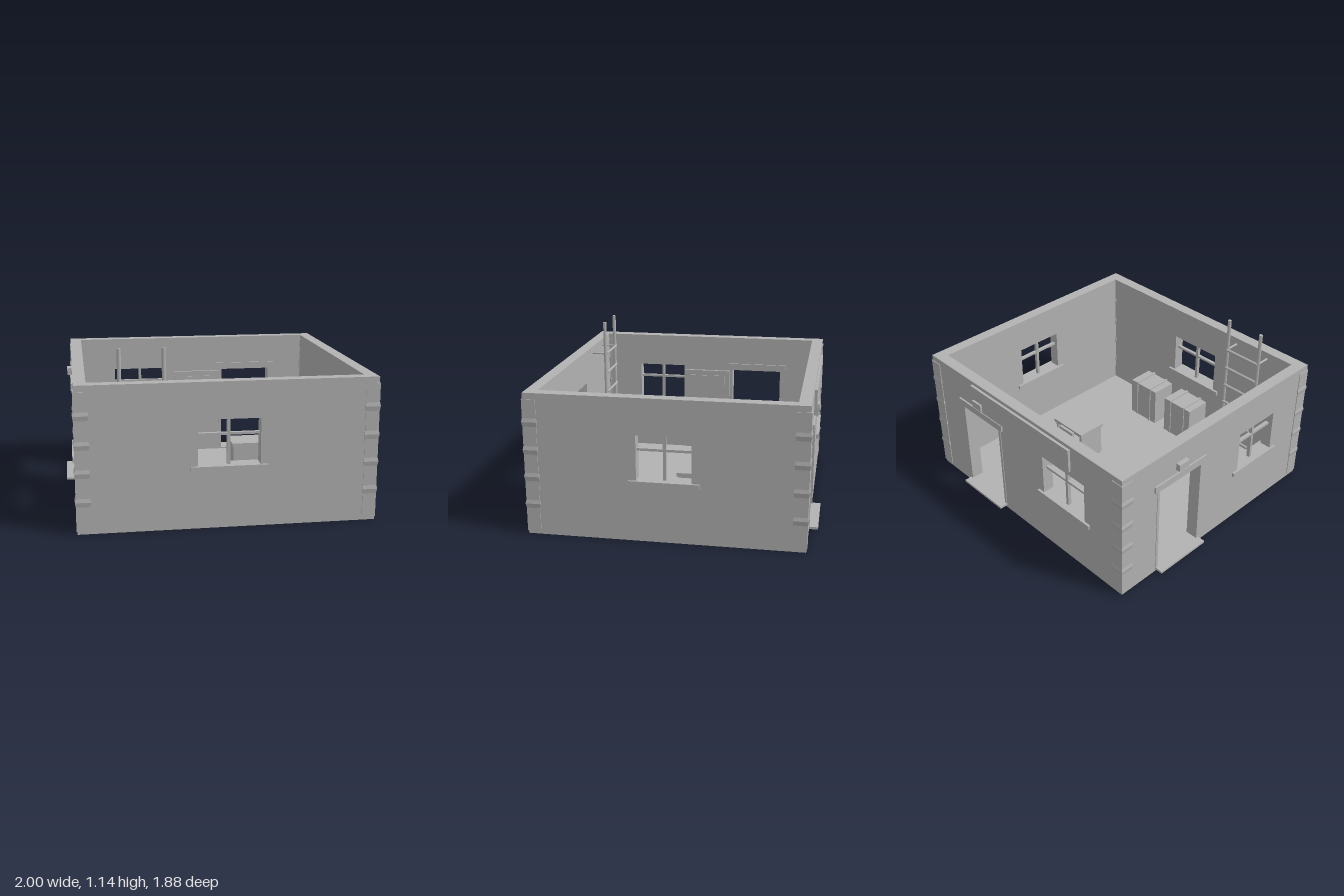
import * as THREE from 'three';

export function createModel() {
  const root = new THREE.Group();
  const grey = new THREE.MeshStandardMaterial({ color: 0xb2b2b2 });
  grey.name = 'plainGrey';

  const add = (name, geo, parent = root) => {
    const m = new THREE.Mesh(geo, grey);
    m.name = name;
    parent.add(m);
    return m;
  };
  // box given by its minimum and maximum on each axis
  const box = (name, x0, x1, y0, y1, z0, z1, parent = root) => {
    const m = add(name, new THREE.BoxGeometry(x1 - x0, y1 - y0, z1 - z0), parent);
    m.position.set((x0 + x1) / 2, (y0 + y1) / 2, (z0 + z1) / 2);
    return m;
  };
  const rod = (name, a, b, r, parent) => {
    const p = new THREE.Vector3(...a), q = new THREE.Vector3(...b);
    const m = add(name, new THREE.CylinderGeometry(r, r, p.distanceTo(q), 8), parent);
    m.position.copy(p).add(q).multiplyScalar(0.5);
    m.quaternion.setFromUnitVectors(new THREE.Vector3(0, 1, 0), q.sub(p).normalize());
  };
  const group = (name) => {
    const g = new THREE.Group();
    g.name = name;
    root.add(g);
    return g;
  };

  const T = 0.08, H = 0.95, FLOOR = 0.025;
  const SILL = 0.41, WIN_TOP = 0.71, DOOR_TOP = 0.69;

  // Each wall group: local x runs along the wall, local z = 0 is the inner face, z = T the outer
  const wall = (name, x, z, angle, u0, u1, openings) => {
    const g = group(name);
    g.position.set(x, 0, z);
    g.rotation.y = angle;
    const s = new THREE.Shape();
    s.moveTo(u0, 0); s.lineTo(u1, 0); s.lineTo(u1, H); s.lineTo(u0, H); s.closePath();
    for (const [a, b, y0, y1] of openings) {
      const h = new THREE.Path();
      h.moveTo(a, y0); h.lineTo(a, y1); h.lineTo(b, y1); h.lineTo(b, y0); h.closePath();
      s.holes.push(h);
    }
    add(name + 'Panel', new THREE.ExtrudeGeometry(s, { depth: T, bevelEnabled: false }), g);
    return g;
  };

  const windowParts = (g, c, w) => {
    const a = c - w / 2, b = c + w / 2;
    box('windowSill', a - 0.05, b + 0.05, 0.38, SILL, -0.018, T + 0.016, g);
    box('windowMullion', c - 0.01, c + 0.01, SILL, WIN_TOP, 0.025, 0.05, g);
    box('windowTransom', a, b, 0.6, 0.616, 0.025, 0.05, g);
  };

  // dir: side along the wall to which the leaf is folded back
  const doorParts = (g, c, dir) => {
    box('doorHeader', c - 0.235, c + 0.235, DOOR_TOP, 0.74, -0.012, T + 0.012, g);
    for (const s of [-1, 1]) {
      const e = c + s * 0.2;
      box('doorJamb', e - 0.01, e + 0.01, FLOOR, DOOR_TOP, -0.004, T + 0.004, g);
    }
    box('doorStep', c - 0.21, c + 0.21, 0.018, 0.034, 0, T + 0.06, g);
    box('doorLamp', c - 0.045, c + 0.045, 0.77, 0.82, T, T + 0.032, g);
    const leaf = new THREE.Group();
    leaf.name = 'doorLeaf';
    leaf.position.x = c + dir * 0.395;
    g.add(leaf);
    box('leafBoard', -0.18, 0.18, 0.03, 0.68, -0.022, -0.002, leaf);
    box('leafUpperPanel', -0.145, 0.145, 0.38, 0.64, -0.028, -0.022, leaf);
    box('leafLowerPanel', -0.145, 0.145, 0.07, 0.33, -0.028, -0.022, leaf);
    const k = dir * 0.145;
    box('leafHandle', k - 0.018, k + 0.018, 0.345, 0.365, -0.042, -0.022, leaf);
  };

  const win = (c, w) => [c - w / 2, c + w / 2, SILL, WIN_TOP];
  const door = (c) => [c - 0.2, c + 0.2, FLOOR, DOOR_TOP];

  // Floor
  box('floor', -0.9, 0.94, 0, FLOOR, -0.84, 0.88);

  // Front wall, local x = x
  const front = wall('frontWall', 0, 0.84, 0, -0.94, 0.98, [win(0.02, 0.4)]);
  windowParts(front, 0.02, 0.4);

  // Back wall, local x = -x
  const back = wall('backWall', 0, -0.8, Math.PI, -0.98, 0.94, [door(-0.445), win(0.4, 0.4)]);
  windowParts(back, 0.4, 0.4);
  doorParts(back, -0.445, 1);
  box('signBoard', -0.515, 0.48, 0.755, 0.925, T, T + 0.018, back);

  // Left wall (+x), local x = -z
  const left = wall('leftWall', 0.9, 0, Math.PI / 2, -0.84, 0.8, [win(-0.02, 0.355)]);
  windowParts(left, -0.02, 0.355);

  // Right wall (-x), local x = z
  const right = wall('rightWall', -0.86, 0, -Math.PI / 2, -0.8, 0.84, [door(-0.365), win(0.397, 0.355)]);
  windowParts(right, 0.397, 0.355);
  doorParts(right, -0.365, 1);

  // Corner posts of stacked blocks, flared at each joint
  const rows = [[0, 0.02], [0.045, 0.02]];
  for (const y of [0.21, 0.395, 0.575, 0.76]) {
    rows.push([0.045, y - 0.03], [0.05, y], [0.045, y + 0.025]);
  }
  rows.push([0.045, 0.91], [0, 0.91]);
  const post = new THREE.LatheGeometry(
    rows.map(([h, y]) => new THREE.Vector2(h * Math.SQRT2, y)), 4, Math.PI / 4).toNonIndexed();
  post.computeVertexNormals();
  for (const x of [-0.9, 0.94]) {
    for (const z of [-0.84, 0.88]) add('cornerPost', post).position.set(x, 0, z);
  }

  // Ladder fixed to the front wall
  const ladder = group('ladder');
  for (const x of [-0.65, -0.37]) {
    rod('ladderRail', [x, FLOOR, 0.74], [x, 1.14, 0.74], 0.013, ladder);
    for (const y of [0.3, 0.9]) rod('ladderBracket', [x, y, 0.74], [x, y, 0.845], 0.008, ladder);
  }
  for (let y = 0.15; y < 0.95; y += 0.15) {
    rod('ladderRung', [-0.65, y, 0.73], [-0.37, y, 0.73], 0.01, ladder);
  }

  // Strapped crates
  for (const x of [-0.18, 0.18]) {
    const crate = group('crate');
    box('crateBody', x, x + 0.26, FLOOR, 0.32, 0.58, 0.77, crate);
    for (const d of [0.055, 0.19]) {
      box('crateStrap', x + d, x + d + 0.018, FLOOR, 0.328, 0.573, 0.777, crate);
    }
  }

  // Desk with a chair tucked behind it
  const desk = group('desk');
  box('deskTop', 0.2, 0.5, 0.27, 0.295, -0.19, 0.03, desk);
  box('deskSide', 0.21, 0.23, FLOOR, 0.27, -0.18, 0.02, desk);
  box('deskSide', 0.47, 0.49, FLOOR, 0.27, -0.18, 0.02, desk);
  box('deskFront', 0.23, 0.47, 0.08, 0.27, 0, 0.015, desk);
  const chair = group('chair');
  box('chairSeat', 0.28, 0.42, 0.15, 0.17, -0.19, -0.06, chair);
  box('chairBack', 0.28, 0.42, FLOOR, 0.28, -0.21, -0.19, chair);
  for (const x of [0.28, 0.4]) box('chairLeg', x, x + 0.02, FLOOR, 0.15, -0.08, -0.06, chair);

  return root;
}
